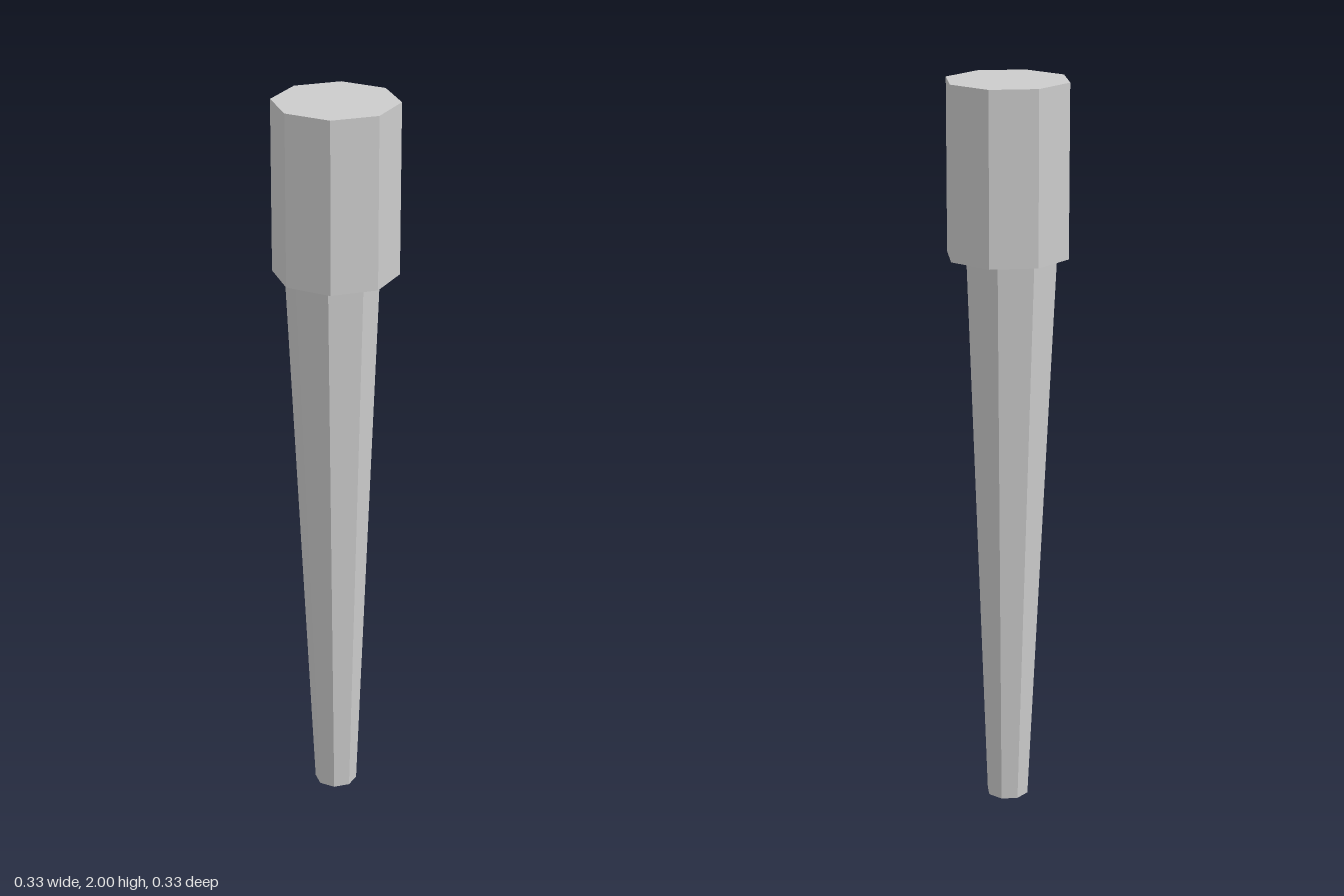
import * as THREE from 'three';

const SIDES = 8;
const JOINT_Y = 1.54;

export function createModel() {
  const group = new THREE.Group();
  const material = new THREE.MeshStandardMaterial({ color: 0xcccccc, flatShading: true });

  const addPart = (name, topRadius, bottomRadius, y0, y1) => {
    const geometry = new THREE.CylinderGeometry(topRadius, bottomRadius, y1 - y0, SIDES);
    geometry.translate(0, (y0 + y1) / 2, 0);
    const mesh = new THREE.Mesh(geometry, material);
    mesh.name = name;
    group.add(mesh);
    return mesh;
  };

  // Wide octagonal block at the top
  addPart('head', 0.166, 0.166, JOINT_Y, 2);

  // Tapered octagonal shaft, leaning very slightly towards the front
  const shaft = addPart('shaft', 0.124, 0.058, 0, JOINT_Y);
  const lean = new THREE.Matrix4().set(
    1, -0.004 / JOINT_Y, 0, 0,
    0, 1, 0, 0,
    0, 0.009 / JOINT_Y, 1, 0,
    0, 0, 0, 1
  );
  shaft.geometry.applyMatrix4(lean);

  return group;
}
